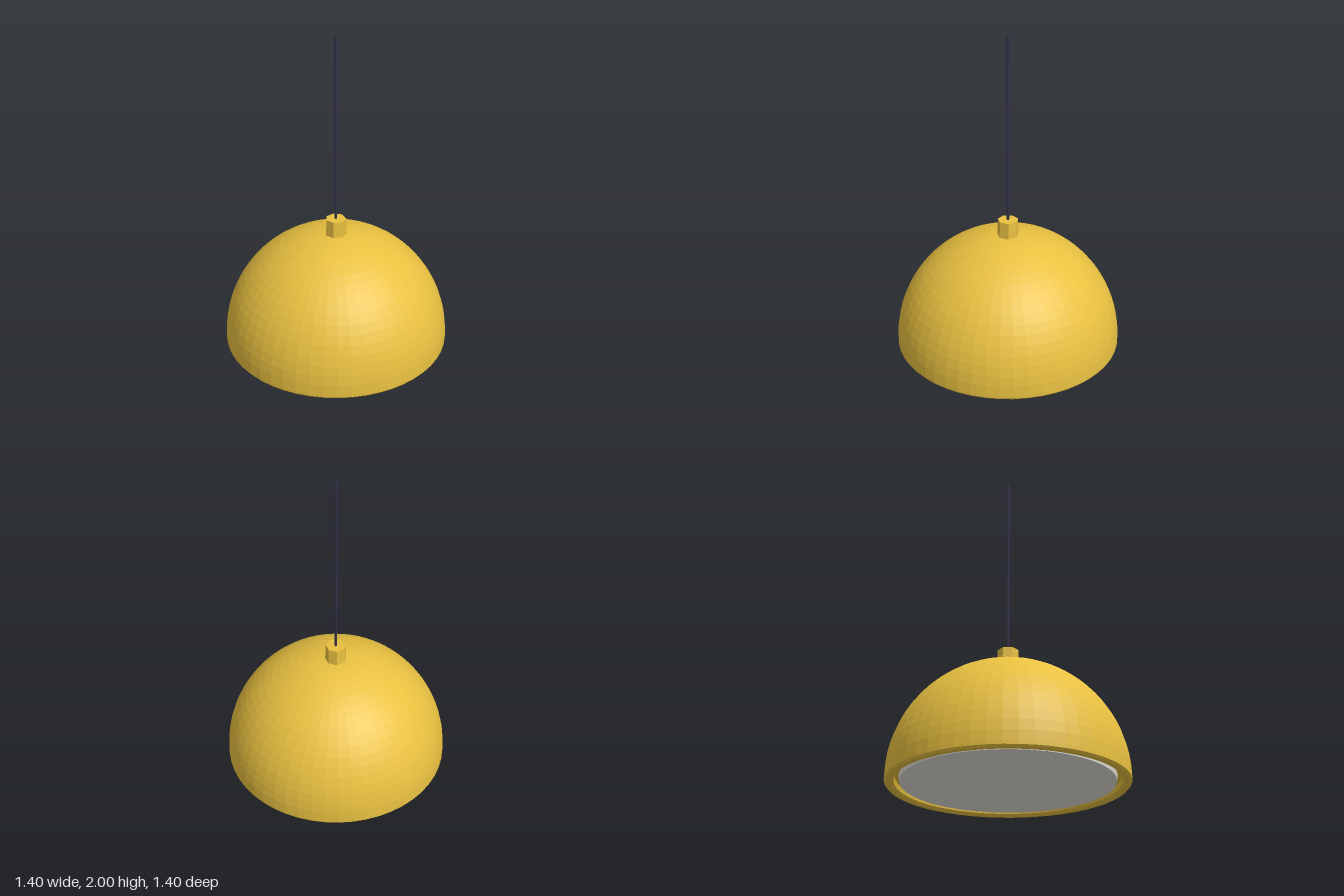
import * as THREE from 'three';

const YELLOW = 0xe8c040, DARK = 0x35304a, WHITE = 0xe4e3da;

function part(name, geometry, color, y = 0) {
  const material = new THREE.MeshStandardMaterial({ color, flatShading: true });
  const mesh = new THREE.Mesh(geometry, material);
  mesh.name = name;
  mesh.position.y = y;
  return mesh;
}

export function createModel() {
  const lamp = new THREE.Group();
  lamp.name = 'pendantLamp';

  // Shade: inner lip, rolled rim, then a quarter circle up to the crown
  const radius = 0.7, centreY = 0.035, rings = 18;
  const profile = [[0.6, 0.05], [0.64, 0.045], [0.645, 0.015], [0.66, 0.003], [0.69, 0.003], [0.7, 0.015]]
    .map(([x, y]) => new THREE.Vector2(x, y));
  for (let i = 0; i <= rings; i++) {
    const a = (i / rings) * Math.PI / 2;
    profile.push(new THREE.Vector2(i === rings ? 0 : radius * Math.cos(a), centreY + radius * Math.sin(a)));
  }
  lamp.add(part('shade', new THREE.LatheGeometry(profile, 52), YELLOW));

  // Diffuser disc set just inside the rim
  lamp.add(part('diffuser', new THREE.CylinderGeometry(0.62, 0.615, 0.035, 40), WHITE, 0.0325));

  // Faceted cap on the crown
  lamp.add(part('cap', new THREE.CylinderGeometry(0.063, 0.068, 0.125, 7), YELLOW, 0.7725));

  // Cord up to the ceiling
  lamp.add(part('cord', new THREE.CylinderGeometry(0.008, 0.008, 1.17, 6), DARK, 1.415));

  return lamp;
}
